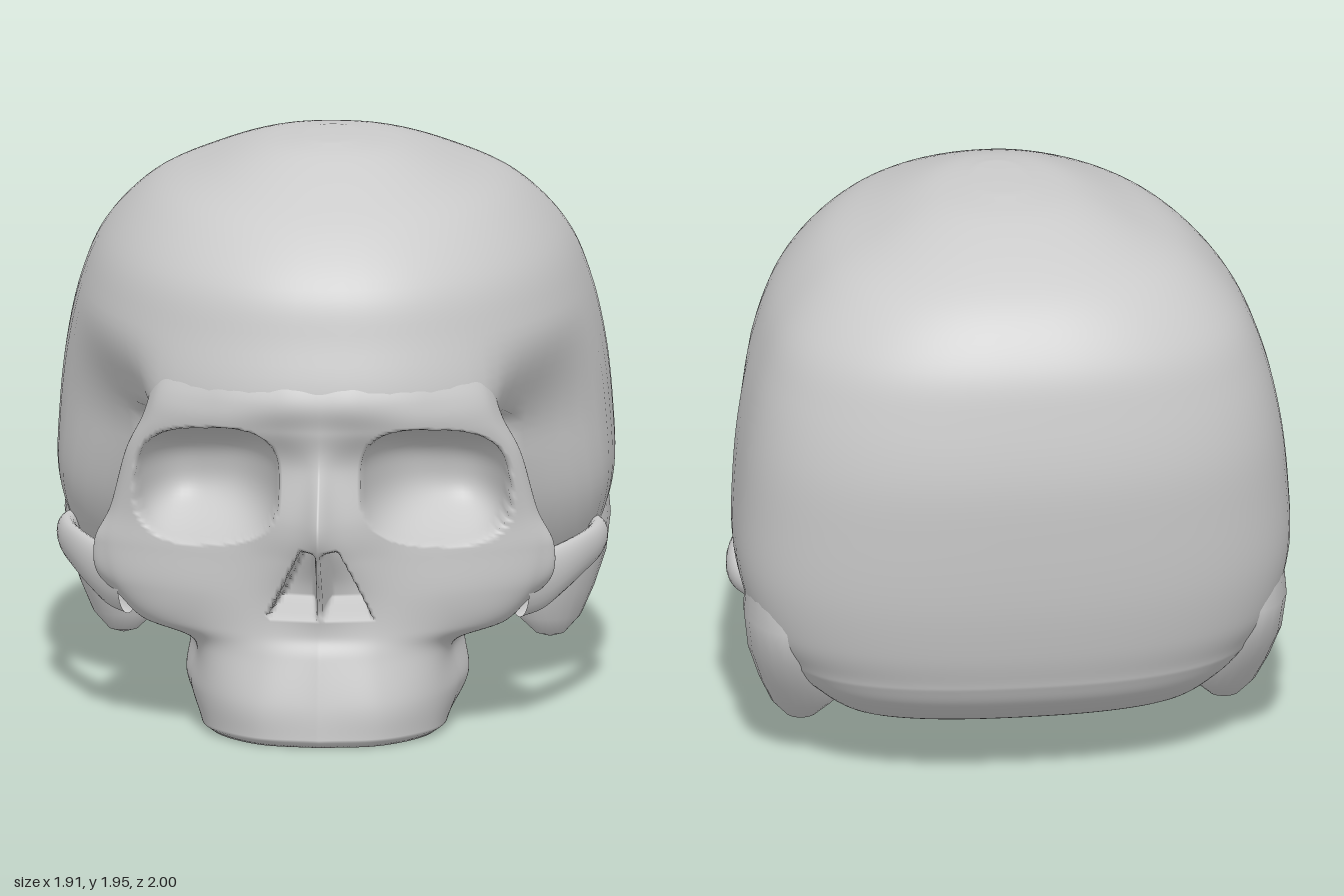
import * as THREE from 'three';
import { mergeVertices } from 'three/addons/utils/BufferGeometryUtils.js';

const V = (x, y, z) => new THREE.Vector3(x, y, z);
const spline = (pts) => new THREE.CatmullRomCurve3(pts, false, 'catmullrom', 0.5);
const { smoothstep, clamp } = THREE.MathUtils;

// Skin a stack of equally long rows, bottom to top, each running towards +x at the front.
function loft(rows) {
  const n = rows[0].length, index = [];
  for (let i = 0; i < rows.length - 1; i++) {
    for (let j = 0; j < n - 1; j++) {
      const a = i * n + j, b = a + 1, d = a + n, c = d + 1;
      index.push(a, b, d, b, c, d);
    }
  }
  let g = new THREE.BufferGeometry().setFromPoints(rows.flat());
  g.setIndex(index);
  g = mergeVertices(g, 1e-4);
  g.computeVertexNormals();
  return g;
}

// Egg-shaped cranium from horizontal sections.
function craniumGeometry() {
  // y, front z, back z, half width, z of the widest point
  const table = [
    [0.20, -0.43, -0.65, 0.46, -0.52], [0.225, -0.40, -0.73, 0.60, -0.50],
    [0.31, -0.34, -0.83, 0.72, -0.48], [0.38, -0.18, -0.875, 0.79, -0.46],
    [0.42, 0.25, -0.89, 0.83, -0.43], [0.53, 0.44, -0.925, 0.90, -0.41],
    [0.72, 0.66, -0.965, 0.95, -0.38], [0.95, 0.84, -0.99, 0.945, -0.37],
    [1.18, 0.905, -1.00, 0.92, -0.36], [1.40, 0.86, -0.97, 0.87, -0.33],
    [1.58, 0.80, -0.92, 0.79, -0.30], [1.74, 0.64, -0.80, 0.64, -0.25],
    [1.84, 0.45, -0.64, 0.45, -0.20], [1.92, 0.23, -0.40, 0.26, -0.12],
    [1.95, 0.08, -0.20, 0.08, -0.06],
  ];
  const depth = spline(table.map(([y, f, b]) => V(f, y, b)));
  const width = spline(table.map(([y, , , w, c]) => V(w, y, c)));
  const rows = [], N = 84, M = 80;
  for (let i = 0; i <= N; i++) {
    const d = depth.getPoint(i / N), w = width.getPoint(i / N), row = [];
    // wall behind the eye sockets, set back under the brow
    const wall = 0.36 + 0.6 * smoothstep(d.y, 1.05, 1.18);
    const low = 1 - smoothstep(d.y, 0.95, 1.4);
    for (let j = 0; j <= M; j++) {
      const t = (j / M) * Math.PI * 2 - Math.PI;
      const s = Math.sin(t), c = Math.cos(t);
      const p = 2 / (c > 0 ? 2.2 : 2.35);
      let x = w.x * Math.sign(s) * Math.abs(s) ** p;
      let z = w.z + (c > 0 ? d.x - w.z : w.z - d.z) * Math.sign(c) * Math.abs(c) ** p;
      z = Math.min(z, wall);
      // hollow of the temple
      x *= 1 - 0.22 * low * smoothstep(z, -0.15, 0.48) * (1 - smoothstep(z, 0.5, 0.72));
      row.push(V(x, d.y, z));
    }
    rows.push(row);
  }
  const cap = (row) => {
    const mid = row[0].clone().lerp(row[M / 2], 0.5);
    return row.map(() => mid.clone());
  };
  return loft([cap(rows[0]), ...rows, cap(rows[N])]);
}

// Push the eye sockets and the nasal opening back into the face.
function carve(p) {
  const ax = Math.abs(p.x);
  const ex = (ax - 0.39) / 0.25;
  const ey = (p.y - 0.89 + 0.1 * (ax - 0.39)) / 0.21;
  const s = Math.abs(ex) ** 2.8 + Math.abs(ey) ** 2.8;
  if (s < 1) p.z -= 0.32 * (1 - s) ** 0.8;
  const half = 0.065 + (0.69 - p.y) * 0.45;
  const edge = Math.min((half - ax) / 0.025, (p.y - 0.435) / 0.025, (0.69 - p.y) / 0.025);
  p.z -= 0.27 * clamp(edge, 0, 1) * smoothstep(ax, 0.005, 0.03);
}

// Face and upper jaw: half outlines per height, mirrored, closed behind.
function faceGeometry() {
  // y, then midline z, and x z of nose side, mid face, outer rim, rear edge, then rear midline z
  const table = [
    [0.02, 0.91, 0.22, 0.86, 0.38, 0.68, 0.42, 0.45, 0.37, 0.26, 0.45],
    [0.14, 0.90, 0.22, 0.86, 0.39, 0.69, 0.46, 0.45, 0.44, 0.18, 0.45],
    [0.30, 0.86, 0.20, 0.82, 0.39, 0.68, 0.45, 0.47, 0.43, 0.18, 0.42],
    [0.38, 0.83, 0.20, 0.80, 0.42, 0.70, 0.63, 0.52, 0.47, 0.20, 0.30],
    [0.50, 0.86, 0.20, 0.80, 0.40, 0.73, 0.71, 0.57, 0.69, 0.42, 0.28],
    [0.64, 0.95, 0.16, 0.83, 0.37, 0.74, 0.74, 0.57, 0.70, 0.44, 0.25],
    [0.77, 1.00, 0.11, 0.87, 0.36, 0.74, 0.71, 0.58, 0.61, 0.40, 0.25],
    [0.97, 0.89, 0.10, 0.84, 0.36, 0.77, 0.66, 0.63, 0.57, 0.42, 0.25],
    [1.10, 0.895, 0.14, 0.88, 0.36, 0.835, 0.60, 0.68, 0.53, 0.47, 0.25],
    [1.20, 0.912, 0.14, 0.905, 0.36, 0.836, 0.57, 0.682, 0.51, 0.48, 0.25],
    [1.32, 0.865, 0.14, 0.857, 0.36, 0.785, 0.54, 0.635, 0.50, 0.46, 0.25],
  ];
  const columns = [];
  for (let c = 0; c < 6; c++) {
    columns.push(spline(table.map((r) => {
      if (c === 0) return V(0, r[0], r[1]);
      if (c === 5) return V(0, r[0], r[10]);
      return V(r[2 * c], r[0], r[2 * c + 1]);
    })));
  }
  const rows = [], N = 130, M = 100;
  for (let i = 0; i <= N; i++) {
    const outline = spline(columns.map((c) => c.getPoint(i / N)));
    const row = [];
    for (let j = -M; j <= M; j++) {
      const t = Math.abs(j) / M, p = outline.getPoint(t);
      p.x = Math.max(p.x, 0) * Math.sign(j);
      if (t <= 0.6) carve(p);
      row.push(p);
    }
    rows.push(row);
  }
  // tooth ridge and hollow palate
  const palate = [[0, 0.2], [0.4, 0.19], [0.68, 0.13], [0.82, 0.02], [0.93, 0]];
  const under = palate.map(([f, y]) => rows[0].map((p) => V(p.x * f, y, 0.6 + (p.z - 0.6) * f)));
  return loft([...under, ...rows]);
}

// Closed ring of points around a centre, spanned by two half axes.
function ring(center, a, b) {
  const row = [];
  for (let j = 0; j <= 20; j++) {
    const t = ((j % 20) / 20) * Math.PI * 2;
    row.push(center.clone().addScaledVector(a, Math.sin(t)).addScaledVector(b, Math.cos(t)));
  }
  return row;
}

// Upright knob from level rings: y, x, z, half width, half depth.
function knob(table) {
  return loft(table.map(([y, x, z, rx, rz]) => ring(V(x, y, z), V(rx, 0, 0), V(0, 0, rz))));
}

// Bone behind the ear, fading into the side of the cranium.
const mastoid = [
  [0.125, 0.73, -0.39, 0.0, 0.0], [0.14, 0.73, -0.39, 0.05, 0.045],
  [0.20, 0.725, -0.40, 0.11, 0.10], [0.30, 0.74, -0.42, 0.14, 0.155],
  [0.42, 0.77, -0.44, 0.15, 0.21], [0.55, 0.785, -0.45, 0.15, 0.24],
  [0.72, 0.80, -0.45, 0.12, 0.20],
];

// Pillar joining the back of the upper jaw to the skull base.
const pterygoid = [
  [0.20, 0.37, 0.30, 0.05, 0.09], [0.33, 0.38, 0.28, 0.08, 0.11], [0.55, 0.40, 0.26, 0.11, 0.13],
];

// Flattened bar from the cheekbone to the ear.
function archGeometry() {
  // x, y, z, half thickness, half height
  const table = [
    [0.67, 0.49, 0.54, 0.04, 0.10], [0.735, 0.495, 0.43, 0.04, 0.10],
    [0.80, 0.515, 0.31, 0.04, 0.085], [0.86, 0.535, 0.17, 0.035, 0.07],
    [0.90, 0.545, 0.02, 0.035, 0.06], [0.905, 0.55, -0.13, 0.035, 0.05],
    [0.86, 0.55, -0.27, 0.03, 0.04],
  ];
  const center = spline(table.map(([x, y, z]) => V(x, y, z)));
  const size = spline(table.map((r) => V(r[3], r[4], 0)));
  const rows = [];
  for (let i = 0; i <= 24; i++) {
    const along = center.getTangent(i / 24), s = size.getPoint(i / 24);
    const out = V(-along.z, 0, along.x).setLength(s.x);
    rows.push(ring(center.getPoint(i / 24), V(0, s.y, 0), out));
  }
  return loft(rows);
}

export function createModel() {
  const group = new THREE.Group();
  group.name = 'skull';
  const bone = new THREE.MeshStandardMaterial({ color: 0xcccccc, side: THREE.DoubleSide });
  const add = (name, geometry, mirror = false) => {
    const mesh = new THREE.Mesh(geometry, bone);
    mesh.name = name;
    if (mirror) mesh.scale.x = -1;
    group.add(mesh);
  };
  add('cranium', craniumGeometry());
  add('faceAndUpperJaw', faceGeometry());
  for (const side of ['left', 'right']) {
    add(side + 'Mastoid', knob(mastoid), side === 'right');
    add(side + 'Pterygoid', knob(pterygoid), side === 'right');
    add(side + 'CheekArch', archGeometry(), side === 'right');
  }
  return group;
}
